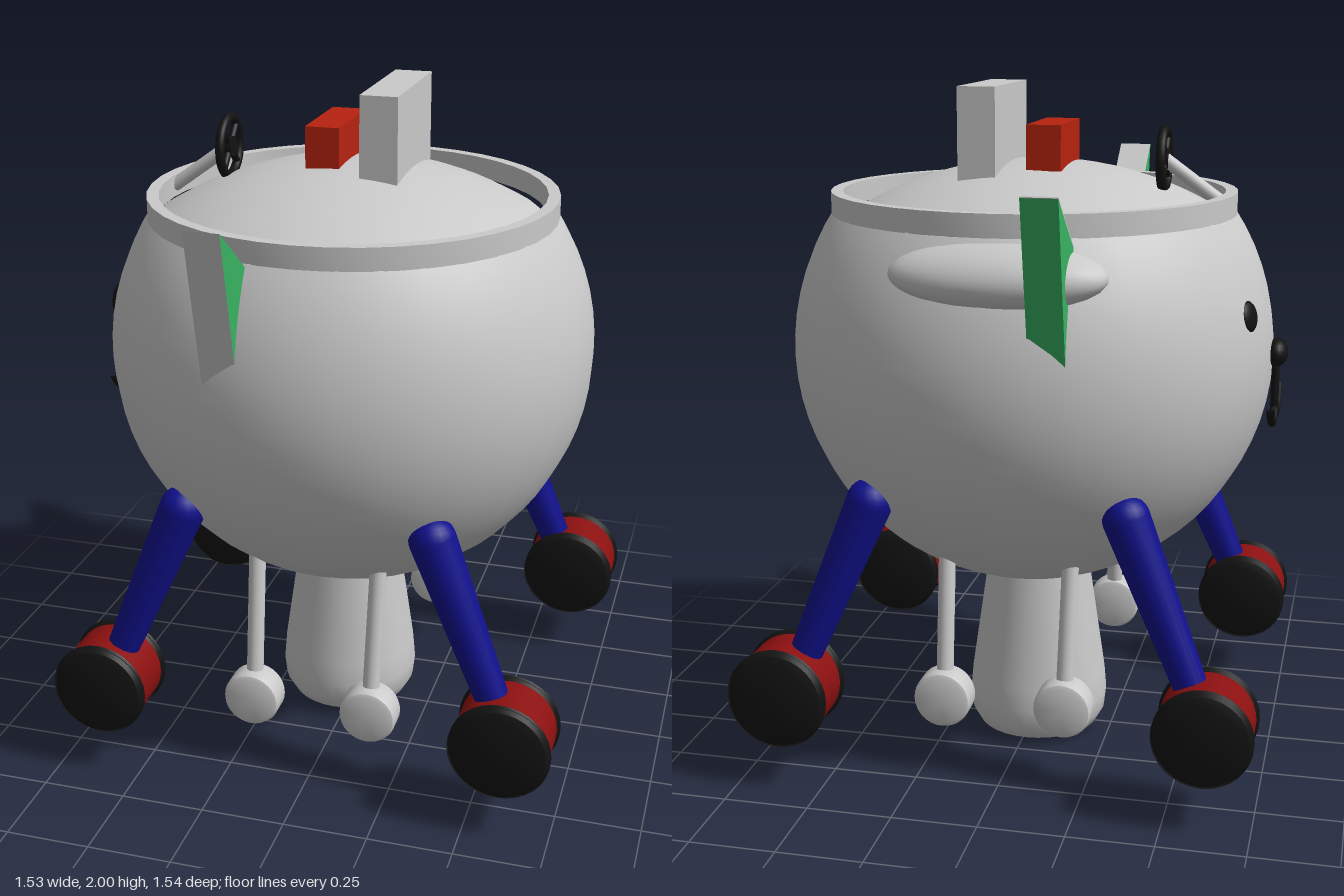
import * as THREE from 'three';
import { toCreasedNormals } from 'three/addons/utils/BufferGeometryUtils.js';

const mat = (name, color, opts = {}) => {
  const m = new THREE.MeshStandardMaterial({ color, ...opts });
  m.name = name;
  return m;
};
const V = (x, y, z) => new THREE.Vector3(x, y, z);

export function createModel() {
  const model = new THREE.Group();
  const grey = mat('shellGrey', 0xcacaca);
  const blue = mat('legBlue', 0x10108c);
  const black = mat('tyreBlack', 0x121212);
  const darkRed = mat('hubRed', 0x8b1010);
  const red = mat('dashRed', 0xb8230f);
  const green = mat('earGreen', 0x38b462);

  const add = (name, geometry, material, x = 0, y = 0, z = 0, parent = model) => {
    const mesh = new THREE.Mesh(geometry, material);
    mesh.name = name;
    mesh.position.set(x, y, z);
    parent.add(mesh);
    return mesh;
  };
  // Tapered round bar between two points
  const bar = (name, a, b, ra, rb, material, parent = model) => {
    const d = b.clone().sub(a);
    const m = add(name, new THREE.CylinderGeometry(rb, ra, d.length(), 20), material, 0, 0, 0, parent);
    m.position.copy(a).addScaledVector(d, 0.5);
    m.quaternion.setFromUnitVectors(V(0, 1, 0), d.normalize());
    return m;
  };
  const lathe = (pts, seg = 32) =>
    toCreasedNormals(new THREE.LatheGeometry(pts.map(p => new THREE.Vector2(...p)), seg), 0.7);
  // Disc with rounded rims, axis along z
  const disc = (r, t, c) => lathe([
    [0, -t / 2], [r - c, -t / 2], [r - c * 0.3, -t / 2 + c * 0.3], [r, -t / 2 + c],
    [r, t / 2 - c], [r - c * 0.3, t / 2 - c * 0.3], [r - c, t / 2], [0, t / 2],
  ]).rotateX(Math.PI / 2);

  // Open round body, rim and inner dome
  const cut = Math.acos(0.41 / 0.72);
  add('body', new THREE.SphereGeometry(0.72, 32, 24, 0, Math.PI * 2, cut, Math.PI - cut), grey, 0, 1.23, 0);
  const ring = new THREE.Shape().absarc(0, 0, 0.6, 0, Math.PI * 2);
  ring.holes.push(new THREE.Path().absarc(0, 0, 0.565, 0, Math.PI * 2, true));
  const rim = new THREE.ExtrudeGeometry(ring, { depth: 0.065, bevelEnabled: false, curveSegments: 20 });
  add('rim', toCreasedNormals(rim.rotateX(-Math.PI / 2), 0.6), grey, 0, 1.628, 0);
  add('innerDome', new THREE.SphereGeometry(1.07, 32, 12, 0, Math.PI * 2, 0, 0.56), grey, -0.01, 0.71, 0);

  // Seat back and dashboard block
  add('seatBack', new THREE.BoxGeometry(0.11, 0.28, 0.4), grey, 0.115, 1.86, -0.045);
  add('dashboard', new THREE.BoxGeometry(0.1, 0.13, 0.28), red, -0.065, 1.827, -0.04);

  // Steering wheel on its column
  const steering = new THREE.Group();
  steering.name = 'steeringWheel';
  steering.position.set(-0.39, 1.79, -0.03);
  model.add(steering);
  add('wheelRim', new THREE.TorusGeometry(0.085, 0.014, 10, 32).rotateY(Math.PI / 2), black, 0, 0, 0, steering);
  add('wheelHub', new THREE.CylinderGeometry(0.03, 0.03, 0.026, 20).rotateZ(Math.PI / 2), black, 0, 0, 0, steering);
  for (let i = 0; i < 4; i++) {
    const a = i * Math.PI / 2 + Math.PI / 4;
    bar('wheelSpoke', V(0, 0, 0), V(0, 0.08 * Math.sin(a), 0.08 * Math.cos(a)), 0.011, 0.011, black, steering);
  }
  bar('steeringColumn', V(-0.57, 1.66, -0.03), V(-0.39, 1.79, -0.03), 0.02, 0.02, grey);

  // Ears: triangular wedges, drawn in (z, y) and given a width along x
  for (const s of [1, -1]) {
    const pts = [[0.77, 1.76], [0.51, 1.56], [0.67, 1.29]];
    const shape = new THREE.Shape(pts.map(([z, y]) => new THREE.Vector2(-s * z, y)));
    const geo = new THREE.ExtrudeGeometry(shape, { depth: 0.1, bevelEnabled: false });
    const ear = add(s > 0 ? 'frontEar' : 'backEar', geo.rotateY(Math.PI / 2), [green, s > 0 ? grey : green], -0.23, 0, 0);
    if (s < 0) {
      // grey plate over the upper face
      const top = add('backEarTop', new THREE.BoxGeometry(0.1, 0.004, 0.328), grey, -0.18, 1.661, -0.641);
      top.rotation.x = Math.atan2(0.2, 0.26);
    }
    ear.userData.side = s;
  }

  // Padded bulge on the back
  const bulge = add('backBulge', new THREE.SphereGeometry(1, 32, 20), grey, -0.03, 1.53, -0.6);
  bulge.scale.set(0.3, 0.085, 0.115);
  bulge.rotation.x = -0.35;

  // Face on the -x side: eyes, nose, mouth
  for (const s of [1, -1]) {
    const n = V(-0.665, 0.145, s * 0.22).normalize();
    const eye = add('eye', new THREE.SphereGeometry(0.045, 20, 12), black);
    eye.position.copy(n).multiplyScalar(0.712).add(V(0, 1.23, 0));
    eye.quaternion.setFromUnitVectors(V(0, 0, 1), n);
    eye.scale.z = 0.4;
  }
  add('nose', new THREE.SphereGeometry(0.042, 20, 14), black, -0.73, 1.23, 0).scale.set(0.8, 1, 1.3);
  bar('mouthLine', V(-0.728, 1.2, 0), V(-0.728, 1.05, 0), 0.012, 0.012, black);
  const smile = new THREE.CatmullRomCurve3(
    [[1.1, -0.16], [1.045, -0.1], [1.03, -0.05], [1.06, 0], [1.03, 0.05], [1.045, 0.1], [1.1, 0.15]]
      .map(([y, z]) => V(-0.728, y, z)));
  add('mouth', new THREE.TubeGeometry(smile, 32, 0.012, 8), black);

  // Four legs with wheels, four small casters
  for (const sx of [1, -1]) for (const sz of [1, -1]) {
    bar('leg', V(sx * 0.6, 0.3, sz * 0.55), V(sx * 0.37, 0.85, sz * 0.505), 0.045, 0.068, blue);
    add('legTop', new THREE.SphereGeometry(0.068, 20, 14), blue, sx * 0.37, 0.85, sz * 0.505);

    const wheel = new THREE.Group();
    wheel.name = 'wheel';
    wheel.position.set(sx > 0 ? (sz > 0 ? 0.6 : 0.62) : -0.61, 0.28, sz > 0 ? 0.55 : -0.565);
    model.add(wheel);
    const r = sx > 0 ? 0.148 : 0.143;
    add('hub', new THREE.CylinderGeometry(r - 0.008, r - 0.008, 0.14, 32).rotateX(Math.PI / 2), darkRed, 0, 0, 0, wheel);
    for (const e of [1, -1]) add('tyre', disc(r, 0.056, 0.035), black, 0, 0, e * 0.082, wheel);

    const cz = sz > 0 ? 0.46 : -0.42;
    bar('casterRod', V(sx * 0.18, 0.25, cz), V(sx * 0.185, 0.68, cz - sz * 0.07), 0.025, 0.025, grey);
    add('caster', disc(0.085, 0.09, 0.015), grey, sx * 0.18, 0.235, cz);
  }

  // Central foot
  add('centralFoot', lathe([[0, 0], [0.14, 0.004], [0.185, 0.025], [0.208, 0.065], [0.214, 0.12],
    [0.208, 0.19], [0.163, 0.5], [0.155, 0.58]]), grey, -0.022, 0, -0.035);

  return model;
}
